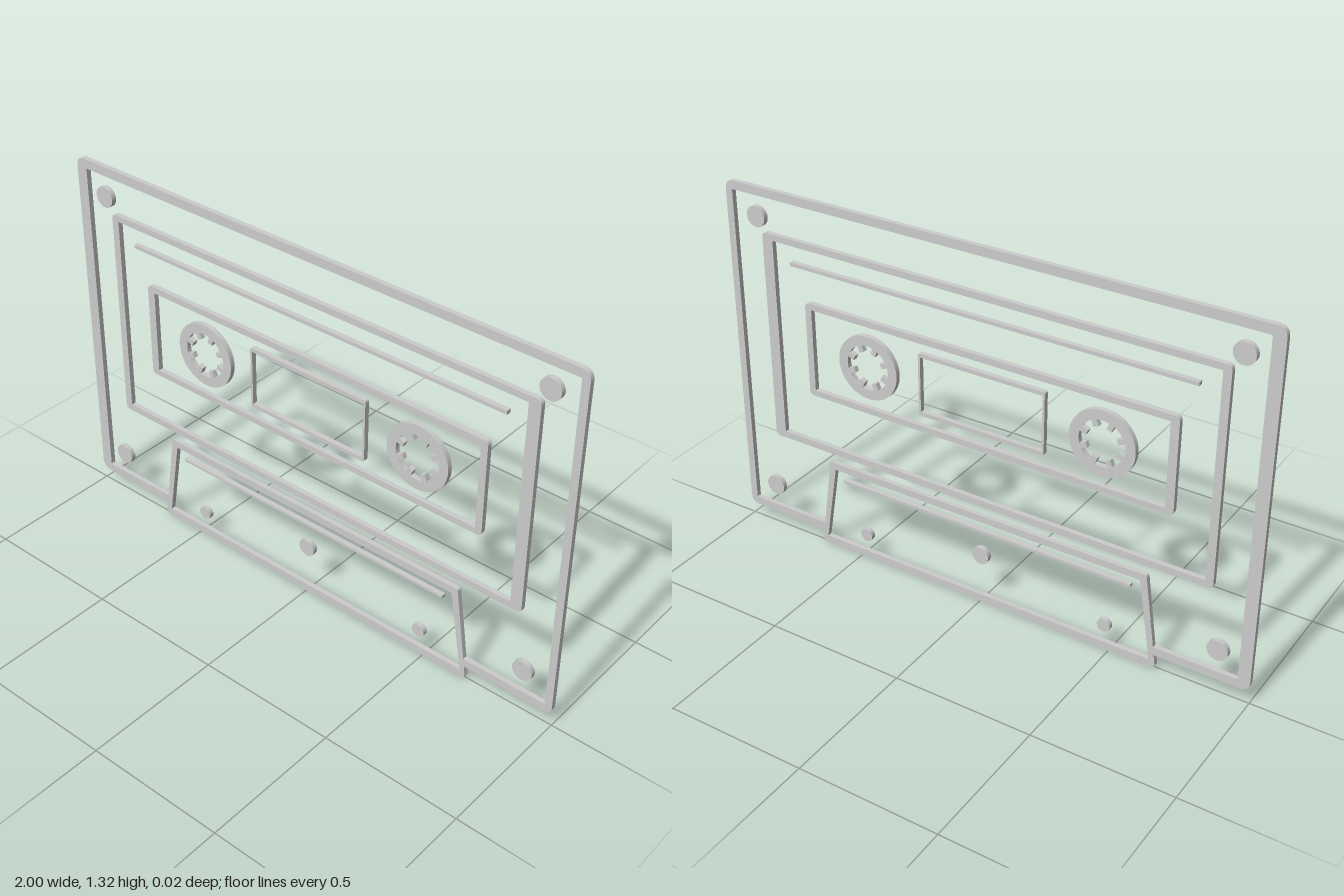
import * as THREE from 'three';

const DEPTH = 0.018;
const material = new THREE.MeshStandardMaterial({ color: 0xcccccc });

// Polygon with corners softened; each point is [x, y, radius]
function outline(points, Type = THREE.Shape) {
  const path = new Type();
  const n = points.length;
  points.forEach(([x, y, r = 0], i) => {
    const p = new THREE.Vector2(x, y);
    const toward = ([qx, qy]) =>
      new THREE.Vector2(qx, qy).sub(p).normalize().multiplyScalar(r).add(p);
    const a = toward(points[(i + n - 1) % n]);
    const b = toward(points[(i + 1) % n]);
    if (i === 0) path.moveTo(a.x, a.y);
    else path.lineTo(a.x, a.y);
    if (r > 0) path.quadraticCurveTo(x, y, b.x, b.y);
  });
  path.closePath();
  return path;
}

const rect = (x0, y0, x1, y1, r = 0) => [[x0, y0, r], [x1, y0, r], [x1, y1, r], [x0, y1, r]];

export function createModel() {
  const group = new THREE.Group();

  function plate(name, shape, x = 0, y = 0) {
    const geometry = new THREE.ExtrudeGeometry(shape, { depth: DEPTH, bevelEnabled: false, curveSegments: 6 });
    geometry.translate(0, 0, -DEPTH / 2);
    const mesh = new THREE.Mesh(geometry, material);
    mesh.name = name;
    mesh.position.set(x, y, 0);
    group.add(mesh);
  }

  function frame(name, outer, inner) {
    const shape = outline(outer);
    shape.holes.push(outline(inner, THREE.Path));
    plate(name, shape);
  }

  function disc(name, x, y, r) {
    const geometry = new THREE.CylinderGeometry(r, r, DEPTH, 32);
    geometry.rotateX(Math.PI / 2);
    const mesh = new THREE.Mesh(geometry, material);
    mesh.name = name;
    mesh.position.set(x, y, 0);
    group.add(mesh);
  }

  // Shell rim, open at the bottom where the head housing sits
  plate('shellRim', outline([
    [-0.652, 0.052], [-0.652, 0.082], [-0.957, 0.082, 0.006], [-0.957, 1.291, 0.006],
    [0.973, 1.288, 0.006], [0.973, 0.08, 0.006], [0.652, 0.08], [0.652, 0.05],
    [1, 0.05, 0.035], [1, 1.318, 0.035], [-1, 1.325, 0.035], [-1, 0.052, 0.035],
  ]));

  // Nested rectangular frames
  frame('labelFrame', rect(-0.848, 0.385, 0.857, 1.163, 0.02), rect(-0.82, 0.41, 0.815, 1.14));
  frame('reelWindowFrame', rect(-0.698, 0.598, 0.693, 0.948, 0.02), rect(-0.668, 0.62, 0.668, 0.925));
  frame('tapeWindowFrame', rect(-0.238, 0.659, 0.238, 0.889, 0.01), rect(-0.23, 0.673, 0.23, 0.875));

  // Tapered head housing
  frame('headHousing',
    [[-0.672, 0, 0.02], [0.673, 0, 0.02], [0.622, 0.349, 0.01], [-0.622, 0.349, 0.01]],
    [[-0.647, 0.028], [0.65, 0.028], [0.6, 0.323], [-0.6, 0.323]]);

  // Thin decorative lines
  plate('labelLine', outline(rect(-0.75, 1.067, 0.747, 1.08)));
  plate('housingLine', outline(rect(-0.566, 0.281, 0.565, 0.291)));

  // Toothed reel hubs
  const TEETH = 8, BORE = 0.082, TIP = 0.059, HALF = 0.0095;
  for (const [name, x] of [['rightReelHub', -0.443], ['leftReelHub', 0.442]]) {
    const hub = new THREE.Shape();
    hub.absarc(0, 0, 0.117, 0, Math.PI * 2);
    const bore = [];
    const add = (r, a) => bore.push(new THREE.Vector2(r * Math.cos(a), r * Math.sin(a)));
    for (let i = 0; i < TEETH; i++) {
      const a = ((i + 0.5) / TEETH) * Math.PI * 2;
      const root = Math.asin(HALF / BORE), tip = Math.asin(HALF / TIP);
      add(BORE, a - root);
      add(TIP, a - tip);
      add(TIP, a + tip);
      add(BORE, a + root);
      const gap = (Math.PI * 2) / TEETH - 2 * root;
      for (let k = 1; k < 4; k++) add(BORE, a + root + (gap * k) / 4);
    }
    hub.holes.push(new THREE.Path(bore));
    const geometry = new THREE.ExtrudeGeometry(hub, { depth: DEPTH, bevelEnabled: false, curveSegments: 32 });
    geometry.translate(0, 0, -DEPTH / 2);
    const mesh = new THREE.Mesh(geometry, material);
    mesh.name = name;
    mesh.position.set(x, 0.773, 0);
    group.add(mesh);
  }

  // Corner screws and housing pins
  for (const side of [-1, 1]) {
    const label = side < 0 ? 'right' : 'left';
    disc(label + 'UpperScrew', side * 0.88, 1.211, 0.037);
    disc(label + 'LowerScrew', side * 0.88, 0.163, 0.037);
    disc(label + 'HousingPin', side * 0.477, 0.093, 0.024);
  }
  disc('centreScrew', 0, 0.187, 0.032);

  return group;
}
